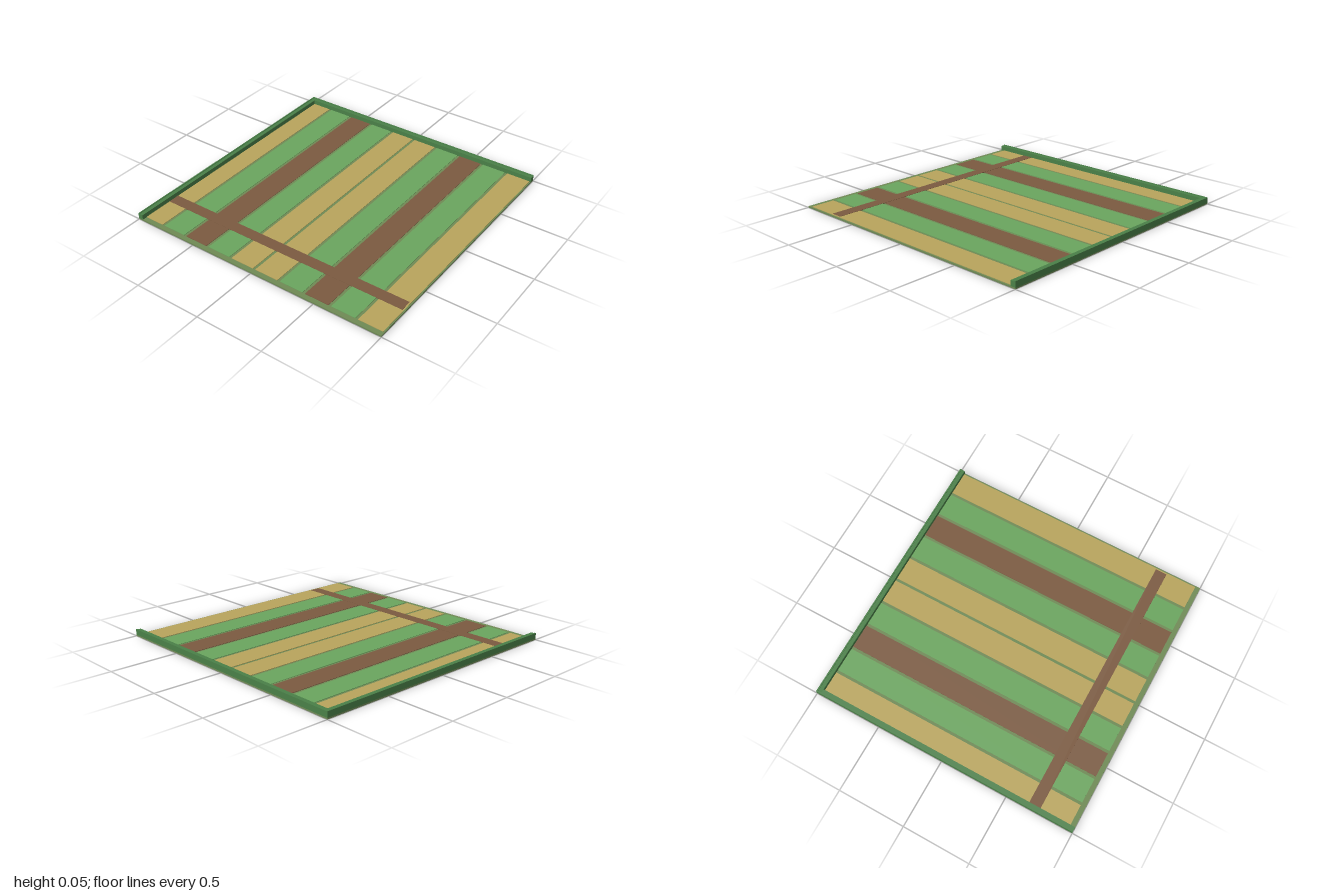
import * as THREE from 'three';

const paint = (color) => new THREE.MeshStandardMaterial({ color });
const OLIVE = paint(0x6f8a55), HEDGE = paint(0x4a8048), TAN = paint(0xb8a45c);
const GREEN = paint(0x6aa55e), BROWN = paint(0x7b5a40);

// Box given by its minimum and maximum corners
function block(name, material, [x0, y0, z0], [x1, y1, z1]) {
  const mesh = new THREE.Mesh(new THREE.BoxGeometry(x1 - x0, y1 - y0, z1 - z0), material);
  mesh.position.set((x0 + x1) / 2, (y0 + y1) / 2, (z0 + z1) / 2);
  mesh.name = name;
  return mesh;
}

export function createModel() {
  const field = new THREE.Group();
  field.name = 'fieldTile';

  // Ground slab
  field.add(block('ground', OLIVE, [-1, 0, -1], [1, 0.01, 1]));

  // Ten crop strips, mirrored about the middle
  const half = [TAN, GREEN, BROWN, GREEN, TAN];
  const strips = new THREE.Group();
  strips.name = 'cropStrips';
  [...half, ...half.slice().reverse()].forEach((material, i) => {
    // the first five run from the left edge, the last five mirror them
    const x = -0.9 + 0.2 * i;
    strips.add(block('cropStrip', material, [x - 0.09, 0.005, -0.965], [x + 0.09, 0.013, 0.965]));
  });
  field.add(strips);

  // Dirt path across the strips
  field.add(block('path', BROWN, [-0.98, 0.006, 0.655], [0.98, 0.0145, 0.74]));

  // Hedges along two edges: a body with a slightly taller outer rim
  const hedges = new THREE.Group();
  hedges.name = 'hedges';
  hedges.add(
    block('backHedge', HEDGE, [-0.99, 0.008, -0.99], [1, 0.046, -0.962]),
    block('backHedgeRim', HEDGE, [-1, 0.008, -1], [1, 0.05, -0.99]),
    block('sideHedge', HEDGE, [-0.99, 0.008, -0.962], [-0.962, 0.046, 1]),
    block('sideHedgeRim', HEDGE, [-1, 0.008, -0.99], [-0.99, 0.05, 1]),
  );
  field.add(hedges);

  return field;
}
